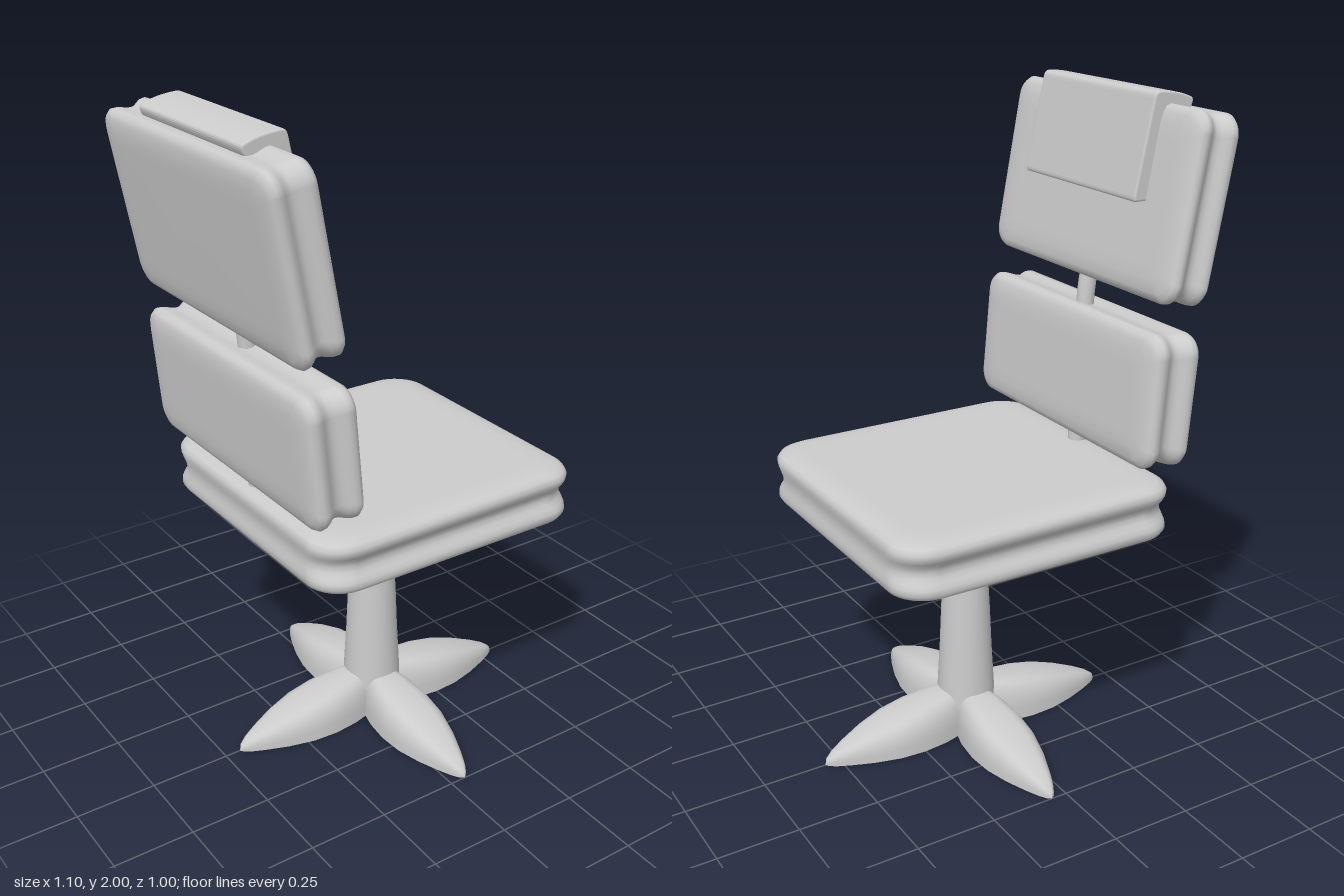
import * as THREE from 'three';

const material = new THREE.MeshStandardMaterial({ color: 0xcccccc });

// Skin a list of rings (equal point counts) with smooth quads
function loft(rings, closed) {
  const n = rings[0].length, pos = rings.flat(2), index = [];
  for (let i = 0; i < rings.length - 1; i++) {
    for (let j = 0; j < (closed ? n : n - 1); j++) {
      const k = (j + 1) % n, a = i * n + j, b = a + n, c = i * n + k, d = c + n;
      index.push(a, b, c, b, d, c);
    }
  }
  const g = new THREE.BufferGeometry();
  g.setAttribute('position', new THREE.Float32BufferAttribute(pos, 3));
  g.setIndex(index);
  g.computeVertexNormals();
  return g;
}

function part(name, geometry, parent) {
  const mesh = new THREE.Mesh(geometry, material);
  mesh.name = name;
  parent.add(mesh);
  return mesh;
}

// Rounded slab lying flat, with a groove running round its edge
function cushionGeometry(width, depth, thickness, radius) {
  // [height fraction, edge inset, groove depth]
  const half = [[0.5, 0.1, 0], [0.498, 0.06, 0], [0.47, 0.025, 0], [0.42, 0.008, 0], [0.34, 0, 0],
    [0.25, 0, 0.002], [0.17, 0, 0.01], [0.09, 0, 0.02]];
  const levels = [...half.map(([y, e, g]) => [-y, e, g]), [0, 0, 0.024], ...half.slice().reverse()];
  const ring = ([f, edge, groove]) => {
    const hx = width / 2 - edge - groove * 0.3, hz = depth / 2 - edge - groove;
    const r = Math.max(radius - edge * 0.5, 0.02), pts = [];
    for (let q = 0; q < 4; q++) {
      const sx = q === 0 || q === 3 ? 1 : -1, sz = q < 2 ? 1 : -1;
      for (let s = 0; s <= 8; s++) {
        const t = (q + s / 8) * Math.PI / 2;
        pts.push([sx * (hx - r) + r * Math.cos(t), f * thickness, sz * (hz - r) + r * Math.sin(t)]);
      }
    }
    return pts;
  };
  const rings = levels.map(ring);
  const cap = (y) => rings[0].map(() => [0, y, 0]);
  return loft([cap(-thickness / 2), ...rings, cap(thickness / 2)], true);
}

// Leaf-shaped leg along +x with a domed top and a flat base
function makeLeaf(name) {
  // [distance, half width, height]
  const stations = [[0, 0.05, 0.145], [0.05, 0.067, 0.143], [0.12, 0.086, 0.137], [0.2, 0.095, 0.125],
    [0.28, 0.09, 0.108], [0.36, 0.07, 0.083], [0.43, 0.044, 0.055], [0.47, 0.026, 0.036],
    [0.492, 0.012, 0.02], [0.5, 0, 0]];
  const leaf = new THREE.Group();
  leaf.name = name;
  const dome = stations.map(([x, w, h]) => Array.from({ length: 17 }, (_, j) => {
    const t = j * Math.PI / 16, c = Math.cos(t);
    return [x, h * Math.pow(Math.abs(Math.sin(t)), 0.75), w * Math.sign(c) * Math.pow(Math.abs(c), 0.6)];
  }));
  part(name + 'Dome', loft(dome, false), leaf);
  part(name + 'Base', loft(stations.map(([x, w]) => [[x, 0, -w], [x, 0, w]]), false), leaf);
  return leaf;
}

// Four leaves in a cross
function makeCross(name, leafName) {
  const cross = new THREE.Group();
  cross.name = name;
  for (let i = 0; i < 4; i++) {
    const leaf = makeLeaf(leafName);
    leaf.rotation.y = i * Math.PI / 2;
    cross.add(leaf);
  }
  return cross;
}

export function createModel() {
  const chair = new THREE.Group();
  chair.name = 'chair';
  const zMid = -0.02;

  // Foot and the smaller inverted bracket under the seat
  const foot = makeCross('foot', 'leg');
  foot.position.set(0.05, 0, 0);
  const bracket = makeCross('seatBracket', 'bracketArm');
  bracket.position.set(0.05, 0.745, 0);
  bracket.rotation.x = Math.PI;
  bracket.scale.set(0.64, 0.37, 0.64);
  chair.add(foot, bracket);

  // Tapered column
  const profile = [[0.092, 0.05], [0.09, 0.14], [0.082, 0.28], [0.076, 0.42], [0.067, 0.58], [0.062, 0.69], [0.066, 0.75]];
  const column = part('column', new THREE.LatheGeometry(profile.map(([r, y]) => new THREE.Vector2(r, y)), 32), chair);
  column.position.x = 0.05;

  // Seat
  const seat = part('seat', cushionGeometry(0.91, 0.91, 0.175, 0.11), chair);
  seat.position.set(0.055, 0.8175, zMid);

  // Two tilted back cushions
  for (const [name, x, y, height, thickness, tilt] of [
    ['lowerBack', -0.357, 1.148, 0.395, 0.168, 5],
    ['upperBack', -0.433, 1.69, 0.535, 0.152, 10.5]]) {
    const back = part(name, cushionGeometry(height, 0.91, thickness, 0.06), chair);
    back.position.set(x, y, zMid);
    back.rotation.z = THREE.MathUtils.degToRad(tilt - 90);
  }

  // Post joining the seat and back cushions
  const path = new THREE.CatmullRomCurve3([[-0.34, 0.84], [-0.345, 0.95], [-0.357, 1.2], [-0.367, 1.4], [-0.41, 1.6]]
    .map(([x, y]) => new THREE.Vector3(x, y, zMid)));
  part('backPost', new THREE.TubeGeometry(path, 24, 0.027, 16), chair);

  // Headrest pad folded over the top of the upper back
  const pad = new THREE.Shape();
  pad.moveTo(-0.5, 1.94);
  pad.lineTo(-0.362, 1.7);
  pad.lineTo(-0.328, 1.7);
  pad.quadraticCurveTo(-0.318, 1.7, -0.32, 1.715);
  pad.lineTo(-0.376, 1.98);
  pad.quadraticCurveTo(-0.38, 2.0, -0.4, 1.998);
  pad.quadraticCurveTo(-0.46, 1.995, -0.505, 1.975);
  pad.quadraticCurveTo(-0.518, 1.968, -0.5, 1.94);
  const bevel = 0.006;
  const headrest = part('headrest', new THREE.ExtrudeGeometry(pad, {
    depth: 0.55 - 2 * bevel, bevelThickness: bevel, bevelSize: bevel, bevelOffset: -bevel, bevelSegments: 3, curveSegments: 6,
  }), chair);
  headrest.position.z = -0.3 + bevel;

  return chair;
}
